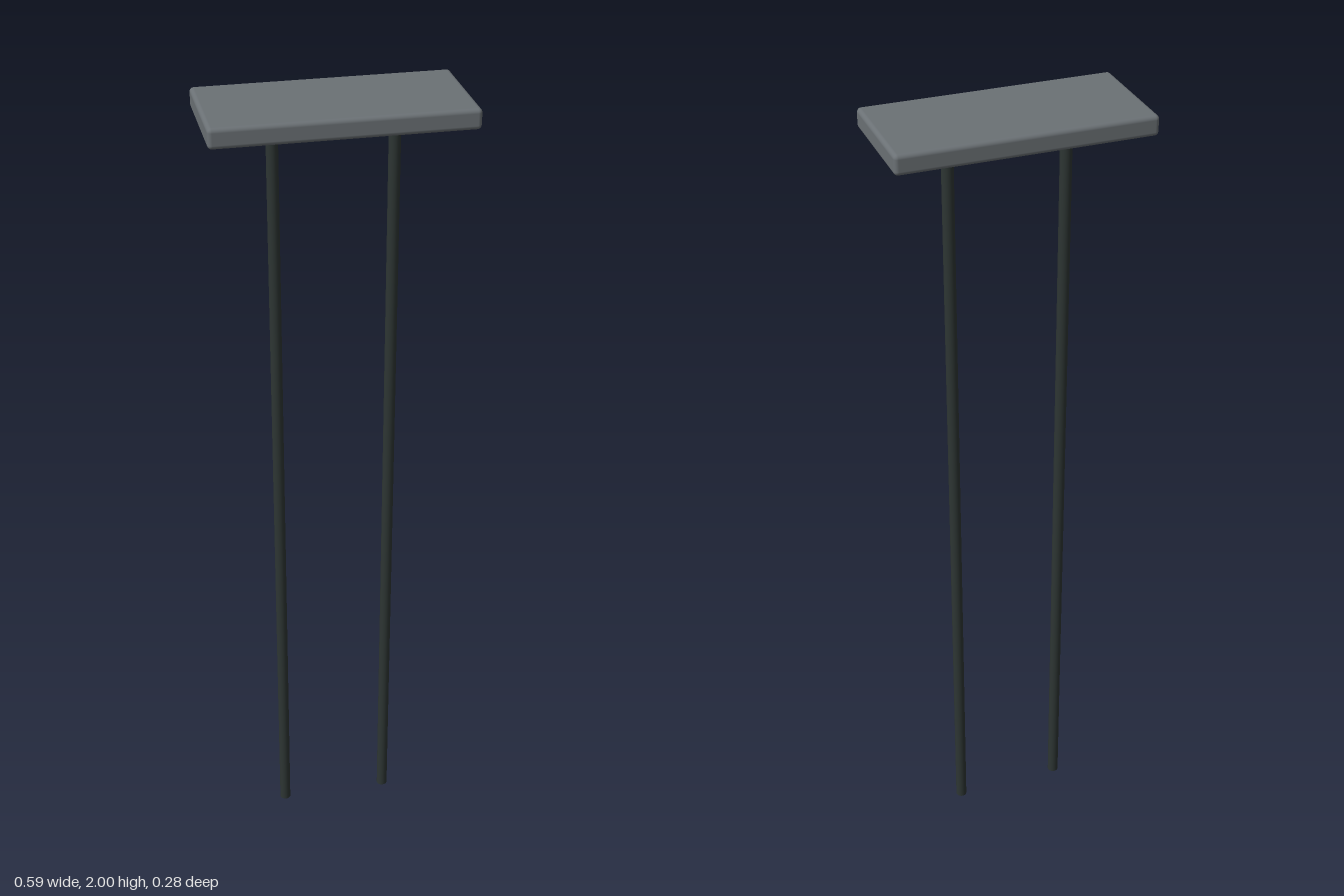
import * as THREE from 'three';
import { RoundedBoxGeometry } from 'three/addons/geometries/RoundedBoxGeometry.js';

const slabGrey = new THREE.MeshStandardMaterial({ color: 0x6b7175 });
slabGrey.name = 'slab grey';
const postDark = new THREE.MeshStandardMaterial({ color: 0x2d3533 });
postDark.name = 'dark post';

const SLAB = { width: 0.594, height: 0.047, depth: 0.275 };
const POST = { radius: 0.014, height: 1.96, x: 0.138 };

export function createModel() {
  const model = new THREE.Group();
  model.name = 'twoPostPanel';

  // Flat slab with softened edges
  const slab = new THREE.Mesh(
    new RoundedBoxGeometry(SLAB.width, SLAB.height, SLAB.depth, 3, 0.01), slabGrey);
  slab.name = 'slab';
  slab.position.y = 2 - SLAB.height / 2;
  model.add(slab);

  // Two slim round posts, running slightly into the slab
  const postGeometry = new THREE.CylinderGeometry(POST.radius, POST.radius, POST.height, 16);
  for (const side of [-1, 1]) {
    const post = new THREE.Mesh(postGeometry, postDark);
    post.name = side > 0 ? 'leftPost' : 'rightPost';
    post.position.set(side * POST.x, POST.height / 2, 0);
    model.add(post);
  }
  return model;
}
